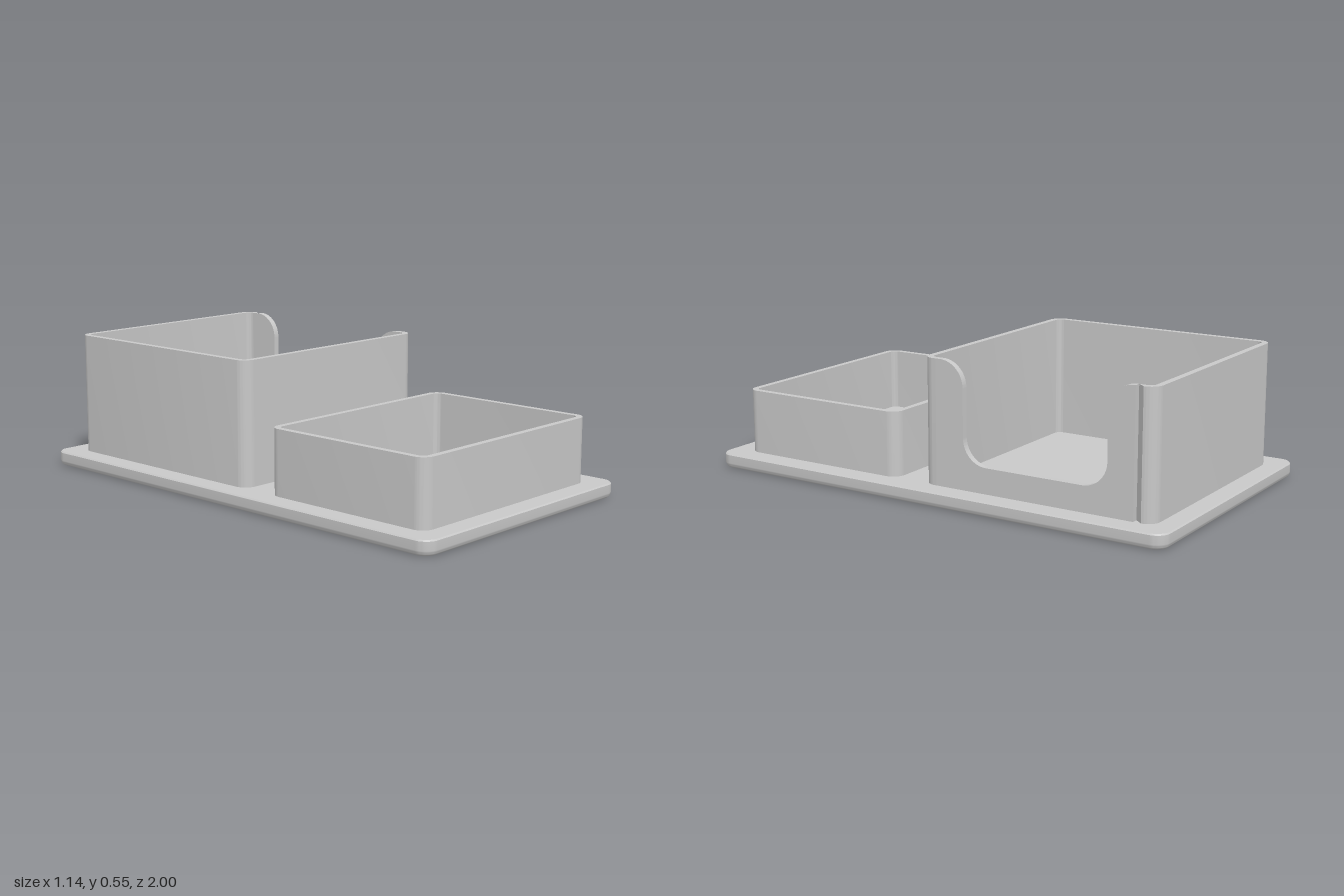
import * as THREE from 'three';
import { toCreasedNormals } from 'three/addons/utils/BufferGeometryUtils.js';

const BASE_TOP = 0.06;
const HALF = 0.485, WALL = 0.025, R = 0.05;
const HALF_PI = Math.PI / 2;

// Closed rounded rectangle, counter-clockwise; v runs toward -z
function roundedRect(path, hx, v0, v1, r) {
  const corners = [[hx - r, v1 - r], [-hx + r, v1 - r], [-hx + r, v0 + r], [hx - r, v0 + r]];
  corners.forEach(([cx, cv], i) => path.absarc(cx, cv, r, i * HALF_PI, (i + 1) * HALF_PI, false));
  path.closePath();
  return path;
}

function smooth(geometry) {
  return toCreasedNormals(geometry, 0.6);
}

// Extrude a floor-plan shape upward from y0 to y1
function extrudeUp(shape, y0, y1) {
  const g = new THREE.ExtrudeGeometry(shape, { depth: y1 - y0, bevelEnabled: false, curveSegments: 10 });
  g.rotateX(-HALF_PI);
  g.translate(0, y0, 0);
  return smooth(g);
}

// Base plate lofted from rounded-rectangle loops, with a rounded lower edge
function basePlate() {
  const bevel = 0.022, steps = 6, n = 10;
  const rings = [];
  for (let i = 0; i <= steps; i++) {
    const a = (i / steps) * HALF_PI;
    rings.push([bevel * (1 - Math.sin(a)), bevel * (1 - Math.cos(a))]);
  }
  rings.push([0, BASE_TOP - 0.005], [0.005, BASE_TOP]);
  const pos = [], idx = [], count = 4 * (n + 1);
  for (const [inset, y] of rings) {
    const r = 0.055 - inset;
    for (let c = 0; c < 4; c++) {
      const sx = c === 0 || c === 3 ? 1 : -1, sz = c < 2 ? 1 : -1;
      for (let k = 0; k <= n; k++) {
        const a = (c + k / n) * HALF_PI;
        pos.push(sx * (0.57 - 0.055) + r * Math.cos(a), y, sz * (1 - 0.055) + r * Math.sin(a));
      }
    }
  }
  for (let j = 0; j < rings.length - 1; j++) {
    for (let k = 0; k < count; k++) {
      const a = j * count + k, b = j * count + (k + 1) % count;
      idx.push(a, a + count, b, b, a + count, b + count);
    }
  }
  const top = (rings.length - 1) * count;
  for (let k = 1; k < count - 1; k++) {
    idx.push(0, k, k + 1);
    idx.push(top, top + k + 1, top + k);
  }
  const g = new THREE.BufferGeometry();
  g.setAttribute('position', new THREE.Float32BufferAttribute(pos, 3));
  g.setIndex(idx);
  return smooth(g);
}

export function createModel() {
  const group = new THREE.Group();
  const grey = new THREE.MeshStandardMaterial({ color: 0xc8c8c8 });
  grey.name = 'light grey';
  const add = (name, geometry) => {
    const mesh = new THREE.Mesh(geometry, grey);
    mesh.name = name;
    group.add(mesh);
  };

  add('basePlate', basePlate());

  // Low front tray: closed ring of walls
  const tray = roundedRect(new THREE.Shape(), HALF, -0.915, -0.175, R);
  tray.holes.push(roundedRect(new THREE.Path(), HALF - WALL, -0.915 + WALL, -0.175 - WALL, R - WALL));
  add('frontTrayWalls', extrudeUp(tray, BASE_TOP - 0.005, 0.315));

  // Tall back bin: walls with a gap on the left side
  const v0 = -0.05, v1 = 0.92, g0 = 0.01, g1 = 0.84, top = 0.545;
  const cx = HALF - R;
  const corners = [[cx, v1 - R], [-cx, v1 - R], [-cx, v0 + R], [cx, v0 + R]];
  const bin = new THREE.Shape();
  bin.moveTo(HALF, g1);
  corners.forEach(([x, v], i) => bin.absarc(x, v, R, i * HALF_PI, (i + 1) * HALF_PI, false));
  bin.lineTo(HALF, g0);
  bin.lineTo(HALF - WALL, g0);
  for (let i = 3; i >= 0; i--) {
    bin.absarc(corners[i][0], corners[i][1], R - WALL, (i + 1) * HALF_PI, i * HALF_PI, true);
  }
  bin.lineTo(HALF - WALL, g1);
  add('backBinWalls', extrudeUp(bin, BASE_TOP - 0.005, top));

  // Left wall of the bin with its rounded scoop opening
  const c = 0.1, low = 0.16, n0 = 0.13, n1 = 0.735;
  const panel = new THREE.Shape();
  panel.moveTo(g0, BASE_TOP - 0.005);
  panel.lineTo(g1, BASE_TOP - 0.005);
  panel.lineTo(g1, top);
  panel.absarc(n1 + c, top - c, c, HALF_PI, Math.PI, false);
  panel.absarc(n1 - c, low + c, c, 0, -HALF_PI, true);
  panel.absarc(n0 + c, low + c, c, -HALF_PI, -Math.PI, true);
  panel.absarc(n0 - c, top - c, c, 0, HALF_PI, false);
  panel.lineTo(g0, top);
  panel.closePath();
  const scoop = new THREE.ExtrudeGeometry(panel, { depth: WALL, bevelEnabled: false, curveSegments: 14 });
  scoop.rotateY(HALF_PI);
  scoop.translate(HALF - WALL, 0, 0);
  add('backBinScoopWall', smooth(scoop));

  return group;
}
